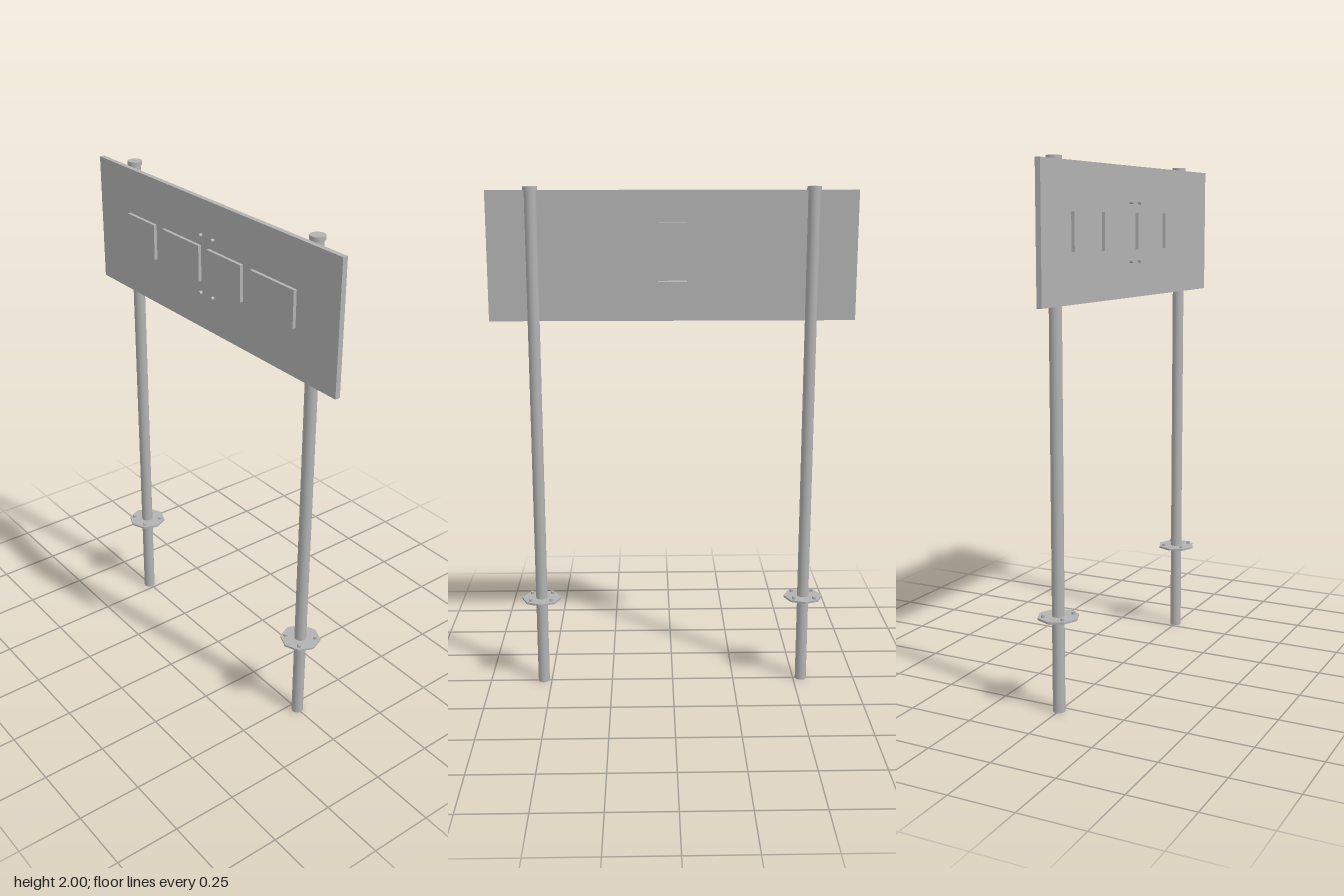
import * as THREE from 'three';

export function createModel() {
  const model = new THREE.Group();
  const gray = new THREE.MeshStandardMaterial({ color: 0xb2b2b2 });
  gray.name = 'galvanised gray';
  gray.side = THREE.DoubleSide; // the posts are open tubes

  const add = (parent, name, geometry, x, y, z) => {
    const mesh = new THREE.Mesh(geometry, gray);
    mesh.name = name;
    mesh.position.set(x, y, z);
    parent.add(mesh);
    return mesh;
  };

  // Sign panel
  add(model, 'panel', new THREE.BoxGeometry(1.414, 0.494, 0.02), -0.001, 1.738, 0.038);

  // Raised plates on the panel: left edge, right edge
  for (const [x0, x1] of [[-0.5, -0.322], [-0.27, -0.038], [0.01, 0.208], [0.26, 0.494]]) {
    add(model, 'raisedPlate', new THREE.BoxGeometry(x1 - x0, 0.138, 0.014), (x0 + x1) / 2, 1.742, 0.054);
  }

  // Rear brackets and the bolts that hold them
  const bolt = new THREE.CylinderGeometry(0.007, 0.007, 0.014, 8);
  for (const y of [1.63, 1.85]) {
    add(model, 'rearBracket', new THREE.BoxGeometry(0.11, 0.03, 0.043), 0, y, 0.0065);
    for (const x of [-0.036, 0.036]) {
      add(model, 'panelBolt', bolt, x, y, 0.053).rotation.x = Math.PI / 2;
    }
  }

  // Posts, each with a top cap, an octagonal ground flange and four bolts
  const tube = new THREE.CylinderGeometry(0.023, 0.023, 1.985, 24, 1, true);
  const cap = new THREE.CylinderGeometry(0.028, 0.028, 0.015, 24);
  const flange = new THREE.CylinderGeometry(0.078, 0.078, 0.008, 8).toNonIndexed();
  flange.computeVertexNormals();
  const flangeBolt = new THREE.CylinderGeometry(0.008, 0.008, 0.012, 6);
  for (const side of [-1, 1]) {
    const post = new THREE.Group();
    post.name = side > 0 ? 'leftPost' : 'rightPost';
    post.position.x = side * 0.532;
    add(post, 'tube', tube, 0, 0.9925, 0);
    add(post, 'cap', cap, 0, 1.9925, 0);
    add(post, 'flange', flange, 0, 0.362, 0);
    for (const x of [-0.041, 0.041]) {
      for (const z of [-0.041, 0.041]) add(post, 'flangeBolt', flangeBolt, x, 0.37, z);
    }
    model.add(post);
  }
  return model;
}
